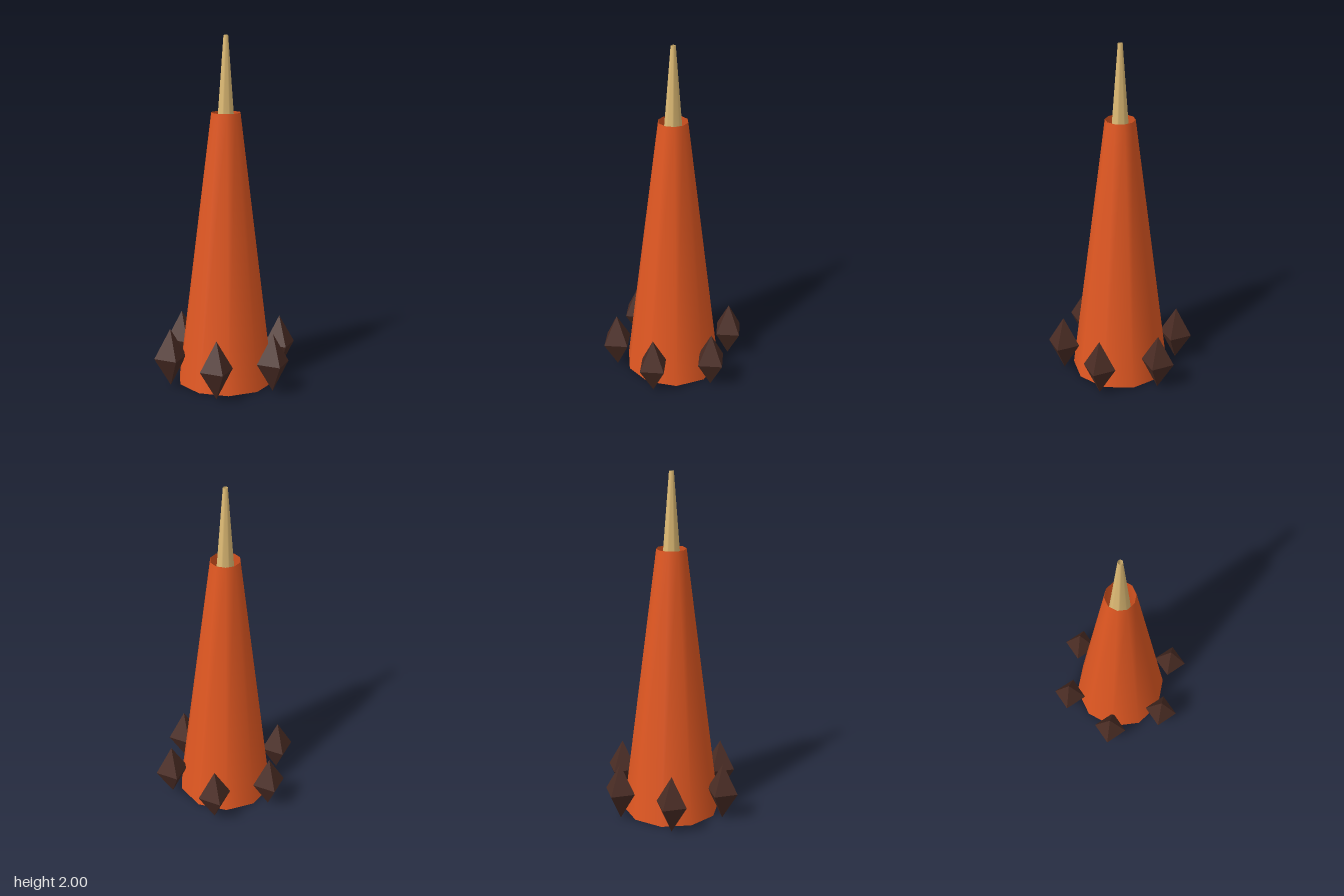
import * as THREE from 'three';

const orange = new THREE.MeshStandardMaterial({ name: 'burntOrange', color: 0xe25822, side: THREE.DoubleSide });
const tan = new THREE.MeshStandardMaterial({ name: 'sandTan', color: 0xe1bd76, side: THREE.DoubleSide });
const brown = new THREE.MeshStandardMaterial({ name: 'darkBrown', color: 0x4a2c24, flatShading: true });

// Open tapered tube standing on y = 0, with a corner on the x axis
function taperedTube(name, topRadius, bottomRadius, height, sides, material) {
  const geometry = new THREE.CylinderGeometry(topRadius, bottomRadius, height, sides, 1, true);
  geometry.rotateY(Math.PI / 2);
  geometry.translate(0, height / 2, 0);
  const mesh = new THREE.Mesh(geometry, material);
  mesh.name = name;
  return mesh;
}

export function createModel() {
  const model = new THREE.Group();
  model.name = 'spire';

  // Wide outer shell and the slender hollow core rising through it
  model.add(taperedTube('outerShell', 0.085, 0.284, 1.573, 10, orange));
  model.add(taperedTube('innerCore', 0.014, 0.17, 2, 8, tan));

  // Ring of six stretched crystals, all facing the same way
  const crystals = new THREE.Group();
  crystals.name = 'crystalRing';
  const crystalGeometry = new THREE.OctahedronGeometry(1).scale(0.098, 0.17, 0.098);
  for (let i = 0; i < 6; i++) {
    const angle = (i * Math.PI) / 3;
    const crystal = new THREE.Mesh(crystalGeometry, brown);
    crystal.name = `crystal${i + 1}`;
    crystal.position.set(0.342 * Math.cos(angle), 0.175, 0.342 * Math.sin(angle));
    crystals.add(crystal);
  }
  model.add(crystals);
  return model;
}
